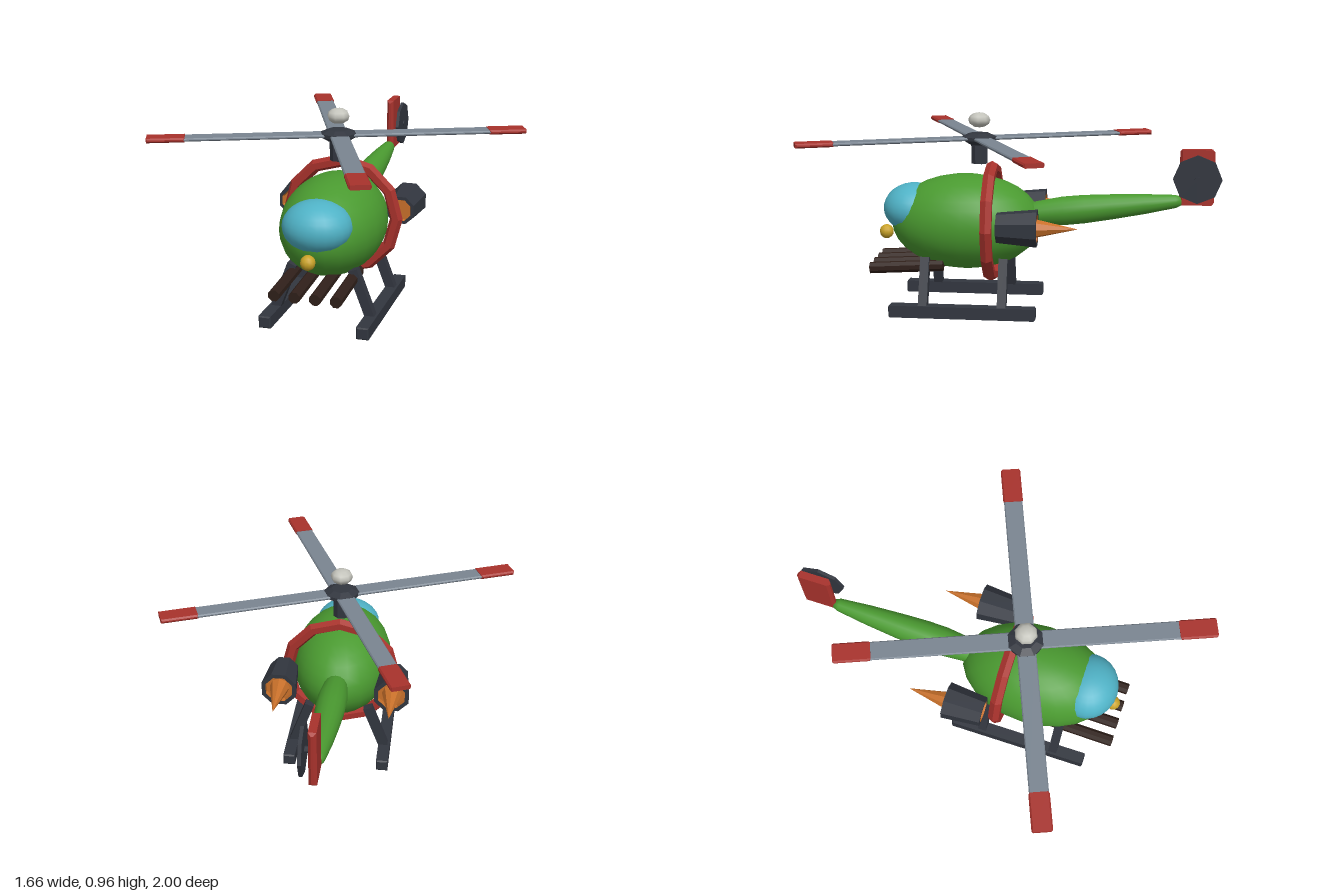
import * as THREE from 'three';

const mat = (color, flatShading = true, side = THREE.FrontSide) =>
  new THREE.MeshStandardMaterial({ color, flatShading, side });
const green = mat(0x4a9a30, false), glass = mat(0x4fb2c6, false), gold = mat(0xc9a227, false);
const red = mat(0xa8322c), blade = mat(0x7a8591), dark = mat(0x32363f), gun = mat(0x30201a);
const orange = mat(0xc8702a, true, THREE.DoubleSide), white = mat(0xc4c4bc, false);

function add(parent, name, geometry, material, x = 0, y = 0, z = 0) {
  const mesh = new THREE.Mesh(geometry, material);
  mesh.name = name;
  mesh.position.set(x, y, z);
  parent.add(mesh);
  return mesh;
}

function group(parent, name, x = 0, y = 0, z = 0) {
  const g = new THREE.Group();
  g.name = name;
  g.position.set(x, y, z);
  parent.add(g);
  return g;
}

const ellipsoid = (rx, ry, rz, w = 24, h = 16) => new THREE.SphereGeometry(1, w, h).scale(rx, ry, rz);
const lathe = (pts, sides) => new THREE.LatheGeometry(pts.map(p => new THREE.Vector2(...p)), sides);

// Box with chamfered edges, centred on the origin
function chamferBox(w, h, d, c) {
  const x = w / 2 - c, y = h / 2 - c;
  const shape = new THREE.Shape([[-x, -y], [x, -y], [x, y], [-x, y]].map(p => new THREE.Vector2(...p)));
  return new THREE.ExtrudeGeometry(shape, {
    depth: d - 2 * c, bevelEnabled: true, bevelSize: c, bevelThickness: c, bevelSegments: 1,
  }).translate(0, 0, c - d / 2);
}

// Eight-sided drum along z with flats facing the axes
const drum = (rFront, rBack, length) =>
  new THREE.CylinderGeometry(rFront, rBack, length, 8).rotateY(Math.PI / 8).rotateX(Math.PI / 2);

function addEngine(parent, side) {
  const engine = group(parent, side > 0 ? 'leftEngine' : 'rightEngine', side * 0.272, 0.455, -0.045);
  // Lathe axis +y becomes +z, so the wide end is at the back
  const turn = g => g.rotateY(Math.PI / 8).rotateX(Math.PI / 2);
  add(engine, 'engineCasing', turn(lathe([
    [0.069, -0.095], [0.09, -0.095], [0.072, 0.095], [0.056, 0.095]], 8)), dark);
  add(engine, 'engineLining', turn(lathe([
    [0, -0.07], [0.068, -0.07], [0.069, -0.095]], 8)), orange);
  add(engine, 'engineIntake', turn(lathe([
    [0.056, 0.095], [0.05, 0.08], [0, 0.08]], 8)), orange);
  add(engine, 'exhaustCone', new THREE.ConeGeometry(0.048, 0.215, 8).rotateX(-Math.PI / 2), orange, 0, 0, -0.1775);
}

function addLandingGear(parent, side) {
  const gear = group(parent, side > 0 ? 'leftLandingGear' : 'rightLandingGear');
  add(gear, 'skid', chamferBox(0.058, 0.058, 0.707, 0.006), dark, side * 0.233, 0.029, 0.223);
  for (const z of [0.412, 0.032]) {
    const strut = add(gear, 'strut', new THREE.BoxGeometry(0.045, 0.25, 0.043), dark, side * 0.19, 0.155, z);
    strut.rotation.z = side * 0.36;
  }
}

export function createModel() {
  const model = new THREE.Group();
  model.name = 'helicopter';

  // Fuselage
  add(model, 'body', ellipsoid(0.244, 0.233, 0.37), green, 0, 0.428, 0.232);
  add(model, 'canopy', ellipsoid(0.163, 0.122, 0.15), glass, 0, 0.49, 0.49);
  add(model, 'noseBall', ellipsoid(0.035, 0.035, 0.035, 12, 8), gold, 0, 0.365, 0.632);
  add(model, 'bodyRing', new THREE.TorusGeometry(0.268, 0.031, 6, 12), red, 0, 0.428, 0.103);

  // Tail boom, lathed and tilted slightly upward
  const boom = add(model, 'tailBoom', lathe([
    [0, -0.02], [0.045, 0], [0.06, 0.13], [0.071, 0.25], [0.07, 0.35], [0.062, 0.48],
    [0.049, 0.64], [0.032, 0.79], [0.022, 0.815], [0, 0.82]], 16).rotateX(-Math.PI / 2), green, 0, 0.46, 0);
  boom.rotation.x = 0.107;

  // Tail fin and rotor disc
  add(model, 'tailFin', chamferBox(0.036, 0.268, 0.165, 0.012), red, 0, 0.663, -0.883);
  const tailRotor = group(model, 'tailRotor', 0.05, 0.66, -0.883);
  add(tailRotor, 'tailDisc', new THREE.CylinderGeometry(0.116, 0.116, 0.016, 8).rotateZ(Math.PI / 2), dark);
  add(tailRotor, 'tailHub', new THREE.CylinderGeometry(0.015, 0.015, 0.06, 8).rotateZ(Math.PI / 2), dark, -0.016);

  // Main rotor
  const rotor = group(model, 'mainRotor', 0, 0.838, 0.165);
  add(rotor, 'mast', new THREE.CylinderGeometry(0.041, 0.041, 0.12, 8).rotateY(Math.PI / 8), dark, 0, -0.063);
  add(rotor, 'hub', lathe([[0, -0.03], [0.05, -0.03], [0.086, -0.008], [0.086, 0.008], [0.05, 0.024], [0, 0.024]], 8), dark);
  add(rotor, 'rotorKnob', ellipsoid(0.054, 0.037, 0.054, 8, 6), white, 0, 0.088);
  for (let i = 0; i < 4; i++) {
    const arm = group(rotor, 'rotorBlade' + (i + 1));
    arm.rotation.y = Math.PI / 8 + i * Math.PI / 2;
    add(arm, 'blade', chamferBox(0.7, 0.015, 0.088, 0.005), blade, 0.37);
    add(arm, 'bladeTip', chamferBox(0.175, 0.021, 0.094, 0.007), red, 0.797);
  }

  // Engines and landing gear, mirrored
  for (const side of [1, -1]) {
    addEngine(model, side);
    addLandingGear(model, side);
  }

  // Row of barrels under the nose
  for (let i = 0; i < 4; i++) {
    const barrel = add(model, 'barrel' + (i + 1), drum(0.028, 0.028, 0.36), gun, (i - 1.5) * 0.096, 0.224, 0.505);
    barrel.rotation.x = 0.06;
  }
  return model;
}
